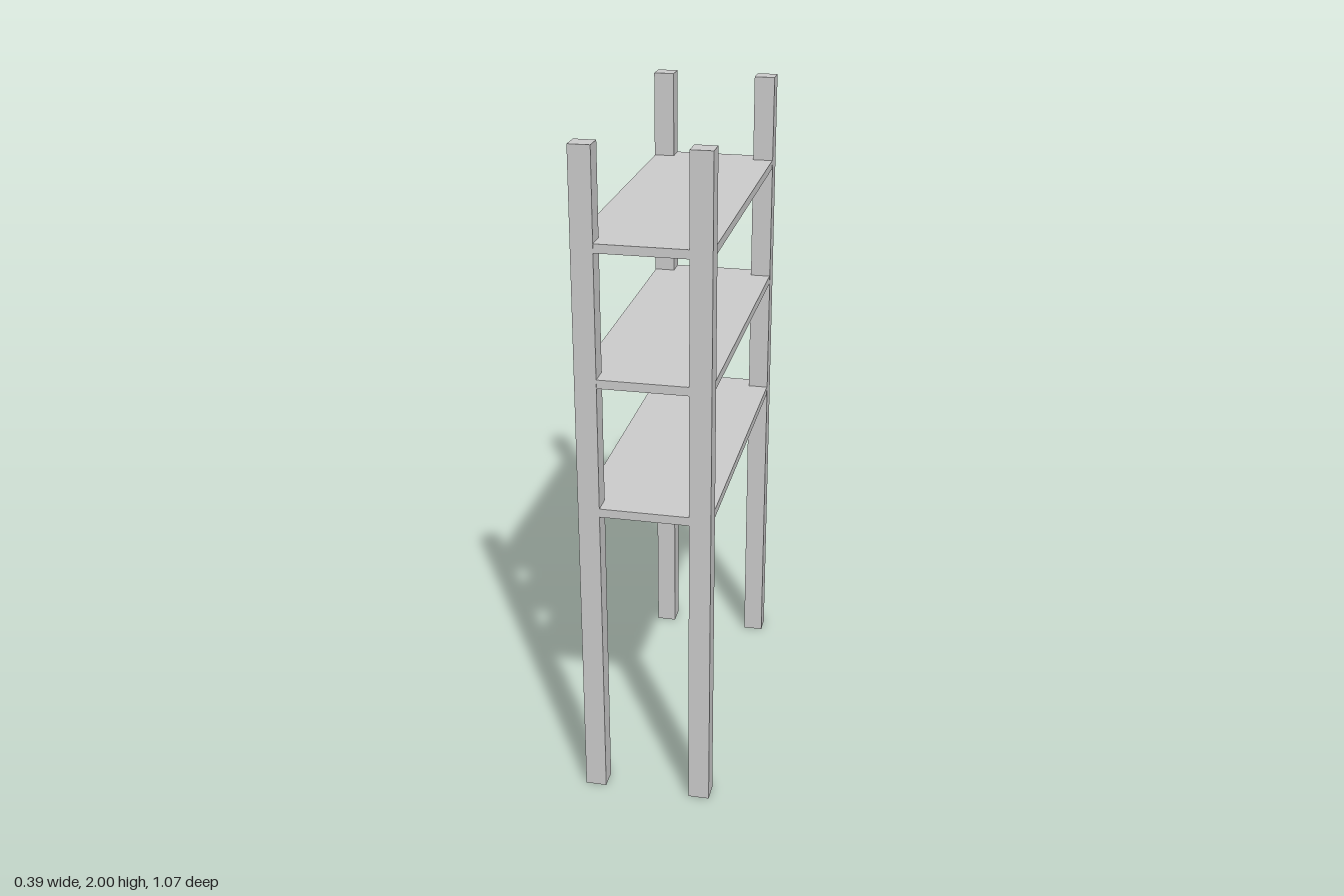
import * as THREE from 'three';

const WIDTH = 0.386, DEPTH = 1.066, HEIGHT = 2;
const POST_X = 0.063, POST_Z = 0.06;
const SHELF_THICKNESS = 0.026;
const SHELF_HEIGHTS = [0.943, 1.338, 1.724];

export function createModel() {
  const group = new THREE.Group();
  group.name = 'shelfUnit';
  const material = new THREE.MeshStandardMaterial({ color: 0xcccccc, flatShading: true });

  const addBox = (name, size, position) => {
    const mesh = new THREE.Mesh(new THREE.BoxGeometry(...size), material);
    mesh.name = name;
    mesh.position.set(...position);
    group.add(mesh);
  };

  // Four square corner posts
  for (const [side, sx] of [['Left', 1], ['Right', -1]]) {
    for (const [end, sz] of [['front', 1], ['back', -1]]) {
      addBox(`${end}${side}Post`, [POST_X, HEIGHT, POST_Z],
        [sx * (WIDTH - POST_X) / 2, HEIGHT / 2, sz * (DEPTH - POST_Z) / 2]);
    }
  }

  // Three shelves, a hair inside the posts' outer faces so the faces do not overlap
  const inset = 0.001;
  SHELF_HEIGHTS.forEach((y, i) => {
    addBox(`shelf${i + 1}`, [WIDTH - 2 * inset, SHELF_THICKNESS, DEPTH - 2 * inset], [0, y, 0]);
  });

  return group;
}
